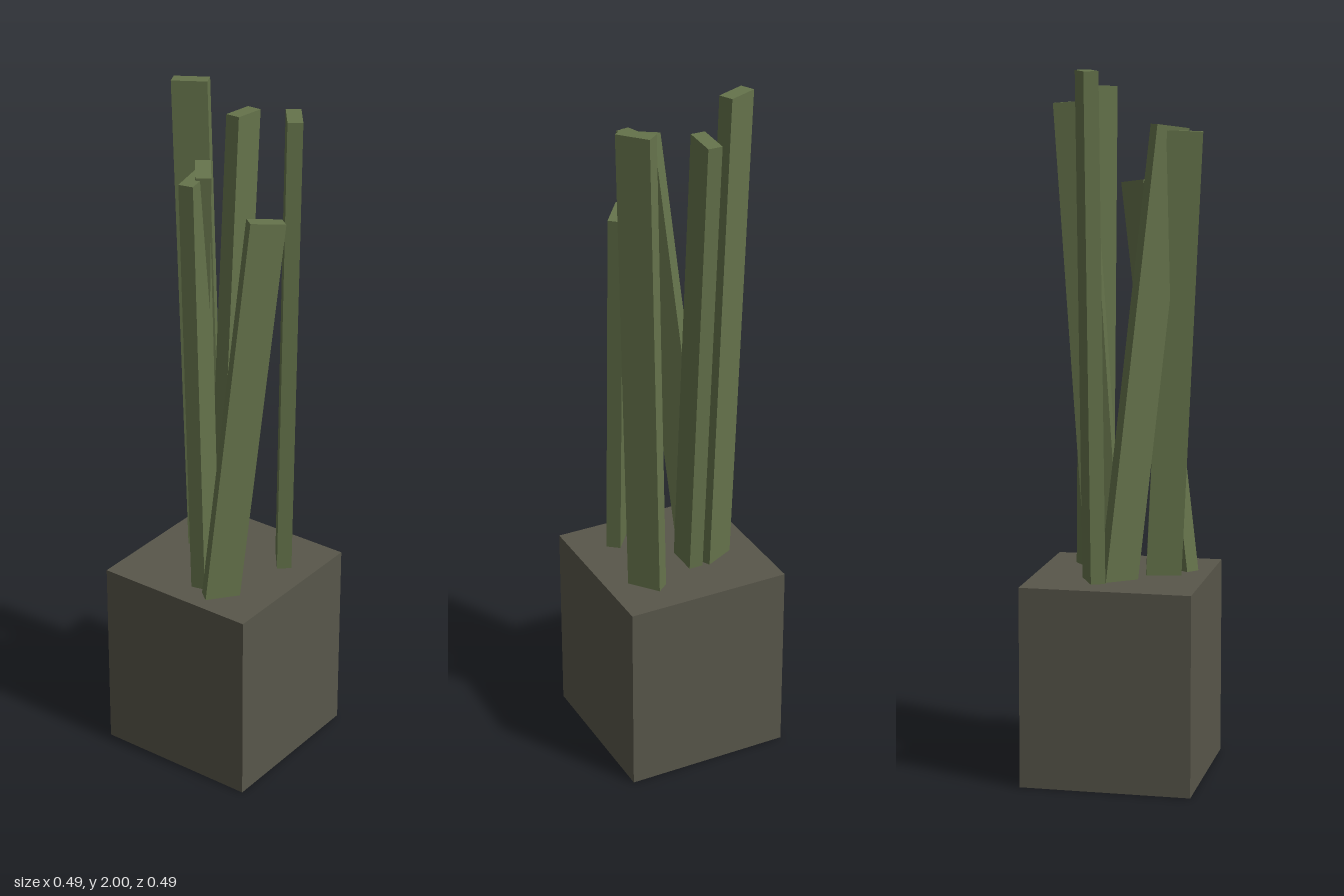
import * as THREE from 'three';

const BLOCK_TOP = 0.575;

// Each stalk: centre of its top (x, y, z), lean from top to block (dx, dz),
// and the direction its broad side runs (ux, uz)
const STALKS = [
  { top: [-0.163, 1.997, -0.065], lean: [0.052, 0.006], broad: [0.088, -0.044] },
  { top: [-0.037, 1.91, -0.135], lean: [0.002, 0.091], broad: [0, 1] },
  { top: [0.153, 1.95, -0.103], lean: [-0.022, -0.007], broad: [0.061, 0.078] },
  { top: [0.147, 1.685, 0.0125], lean: [-0.048, 0.139], broad: [-0.062, 0.078] },
  { top: [0.025, 1.843, 0.129], lean: [-0.11, -0.122], broad: [0.06, 0.077] },
  { top: [0.026, 1.83, 0.171], lean: [-0.009, -0.055], broad: [0.021, 0.098] },
];

export function createModel() {
  const group = new THREE.Group();
  group.name = 'plantedBlock';

  const blockMaterial = new THREE.MeshStandardMaterial({ color: 0x58564a });
  blockMaterial.name = 'dark stone';
  const stalkMaterial = new THREE.MeshStandardMaterial({ color: 0x65734b });
  stalkMaterial.name = 'moss green';

  // Square base block
  const block = new THREE.Mesh(new THREE.BoxGeometry(0.488, BLOCK_TOP, 0.488), blockMaterial);
  block.name = 'baseBlock';
  block.position.y = BLOCK_TOP / 2;
  group.add(block);

  // Leaning stalks, sunk a little into the block
  STALKS.forEach(({ top, lean, broad }, i) => {
    const end = new THREE.Vector3(...top);
    const foot = new THREE.Vector3(top[0] + lean[0], BLOCK_TOP, top[2] + lean[1]);
    const length = end.distanceTo(foot) + 0.06;
    const axis = end.clone().sub(foot).normalize();
    const side = new THREE.Vector3(broad[0], 0, broad[1]);
    side.addScaledVector(axis, -side.dot(axis)).normalize();
    const thin = side.clone().cross(axis);

    const stalk = new THREE.Mesh(new THREE.BoxGeometry(0.1, length, 0.042), stalkMaterial);
    stalk.name = `stalk${i + 1}`;
    stalk.quaternion.setFromRotationMatrix(new THREE.Matrix4().makeBasis(side, axis, thin));
    stalk.position.copy(end).addScaledVector(axis, -length / 2);
    group.add(stalk);
  });

  return group;
}
